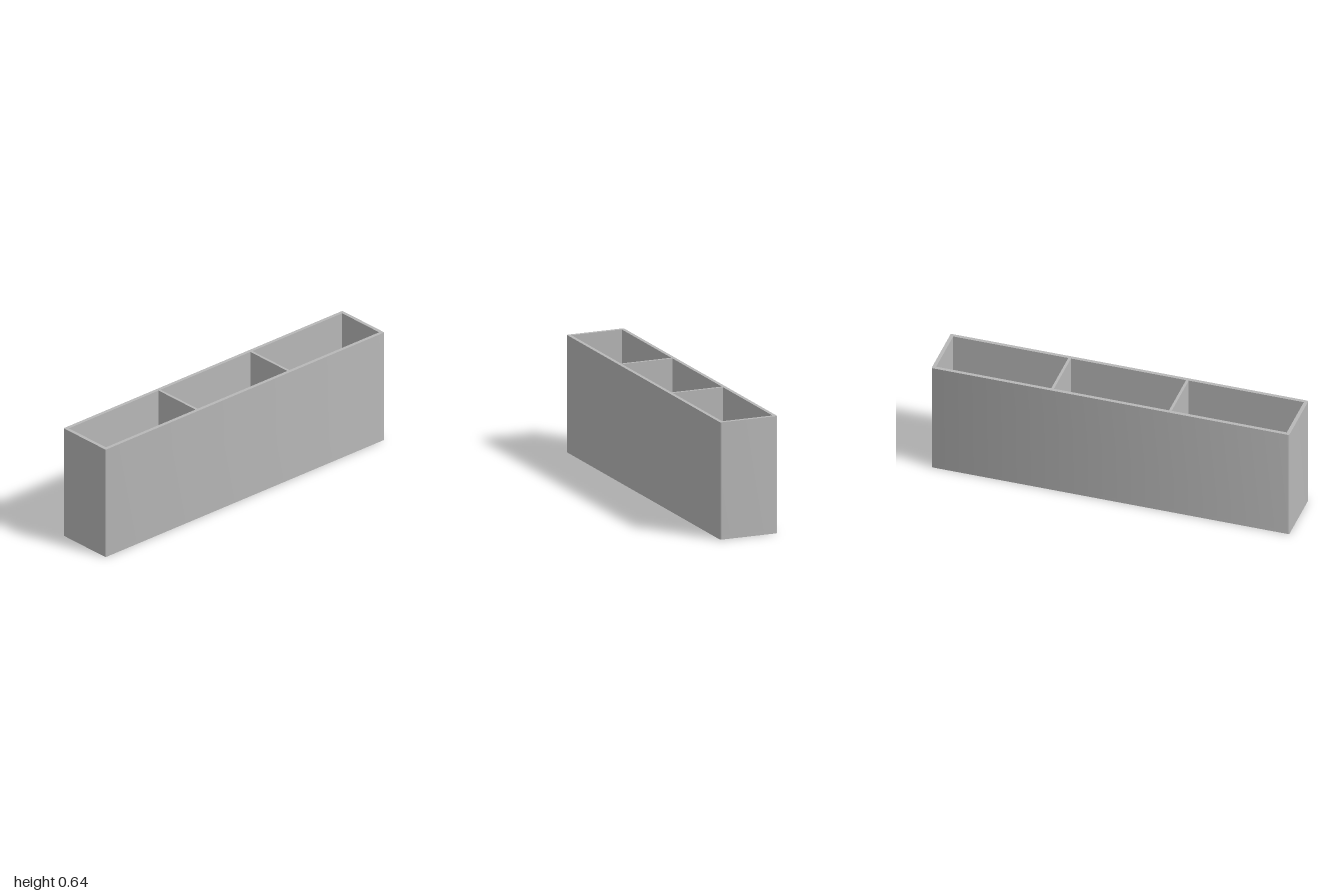
import * as THREE from 'three';
import { toCreasedNormals } from 'three/addons/utils/BufferGeometryUtils.js';

const WIDTH = 0.333, HEIGHT = 0.645, LENGTH = 2;
const WALL = 0.02, DIVIDER = 0.015, FLOOR = 0.02, FILLET = 0.042, CORNER = 0.008;
const POCKETS = 3;
const pocketW = WIDTH - 2 * WALL;
const pocketL = (LENGTH - 2 * WALL - (POCKETS - 1) * DIVIDER) / POCKETS;

function roundedOutline() {
  const w = WIDTH / 2, l = LENGTH / 2, r = CORNER, s = new THREE.Shape();
  s.absarc(w - r, l - r, r, 0, Math.PI / 2);
  s.absarc(r - w, l - r, r, Math.PI / 2, Math.PI);
  s.absarc(r - w, r - l, r, Math.PI, Math.PI * 1.5);
  s.absarc(w - r, r - l, r, Math.PI * 1.5, Math.PI * 2);
  s.closePath();
  return s;
}

function rectangleHole(w, l, z) {
  return new THREE.Path([[-1, -1], [-1, 1], [1, 1], [1, -1]]
    .map(([x, y]) => new THREE.Vector2(x * w / 2, z + y * l / 2)));
}

// Extrudes a plan outline upwards from y0 to y1
function extrudeUp(shape, y0, y1) {
  const g = new THREE.ExtrudeGeometry(shape, { depth: y1 - y0, bevelEnabled: false, curveSegments: 6 });
  g.rotateX(-Math.PI / 2).translate(0, y0, 0);
  return toCreasedNormals(g, Math.PI / 6);
}

// Concave strip between floor and the +x wall, mitred at both ends
function filletStrip(halfX, halfZ) {
  const steps = 8, pos = [], index = [];
  for (let i = 0; i <= steps; i++) {
    const a = i / steps * Math.PI / 2;
    const d = FILLET * (1 - Math.cos(a)), y = FILLET * (1 - Math.sin(a));
    pos.push(halfX - d, y, d - halfZ, halfX - d, y, halfZ - d);
    const k = i * 2;
    if (i < steps) index.push(k, k + 2, k + 1, k + 2, k + 3, k + 1);
  }
  const g = new THREE.BufferGeometry();
  g.setAttribute('position', new THREE.Float32BufferAttribute(pos, 3));
  g.setIndex(index);
  g.computeVertexNormals();
  return g;
}

export function createModel() {
  const group = new THREE.Group();
  group.name = 'compartmentTray';
  const grey = new THREE.MeshStandardMaterial({ color: 0xb8b8b8 });
  grey.name = 'grey';

  function add(parent, name, geometry) {
    const mesh = new THREE.Mesh(geometry, grey);
    mesh.name = name;
    parent.add(mesh);
    return mesh;
  }

  // Base slab
  add(group, 'base', extrudeUp(roundedOutline(), 0, FLOOR));

  // Outer walls and dividers, with one opening per compartment
  const plan = roundedOutline();
  for (let i = 0; i < POCKETS; i++) {
    const z = (i - (POCKETS - 1) / 2) * (pocketL + DIVIDER);
    plan.holes.push(rectangleHole(pocketW, pocketL, z));

    // Rounded transition around each compartment floor
    const fillets = new THREE.Group();
    fillets.name = 'compartmentFillets' + (i + 1);
    fillets.position.set(0, FLOOR, z);
    for (let k = 0; k < 4; k++) {
      const [a, b] = k % 2 ? [pocketL, pocketW] : [pocketW, pocketL];
      add(fillets, 'floorFillet', filletStrip(a / 2, b / 2)).rotation.y = k * Math.PI / 2;
    }
    group.add(fillets);
  }
  add(group, 'wallsAndDividers', extrudeUp(plan, FLOOR, HEIGHT));

  return group;
}
